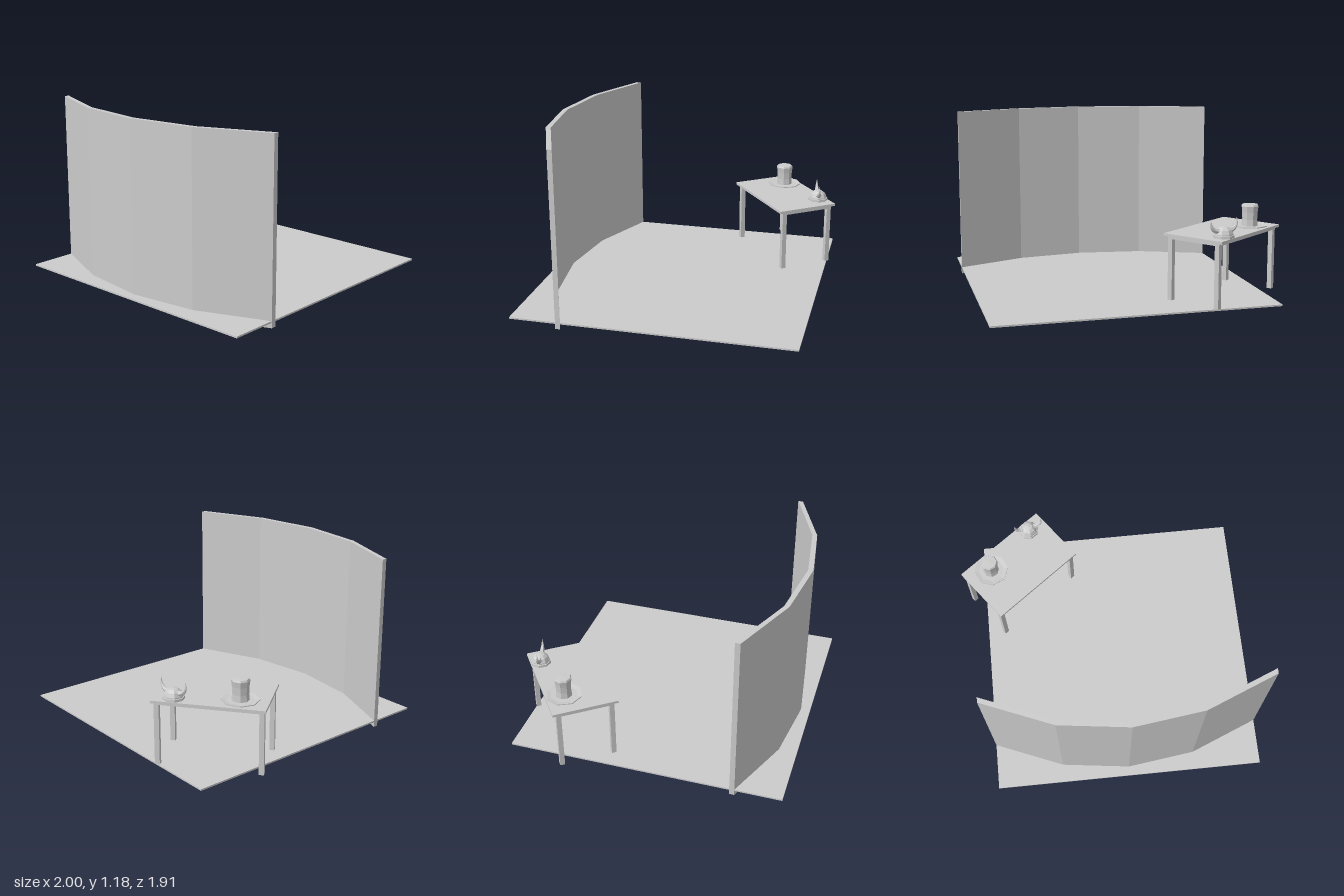
import * as THREE from 'three';

const material = new THREE.MeshStandardMaterial({ color: 0xcccccc, flatShading: true, side: THREE.DoubleSide });

function add(parent, name, geometry, x = 0, y = 0, z = 0) {
  const mesh = new THREE.Mesh(geometry, material);
  mesh.name = name;
  mesh.position.set(x, y, z);
  parent.add(mesh);
  return mesh;
}

function box(parent, name, w, h, d, x, y, z) {
  return add(parent, name, new THREE.BoxGeometry(w, h, d), x, y, z);
}

function lathe(profile, sides) {
  return new THREE.LatheGeometry(profile.map(([r, y]) => new THREE.Vector2(r, y)), sides);
}

// Curved wall: faceted strip extruded upwards
function createWall() {
  const arc = [[-0.865, 0.605], [-0.4, 0.795], [0.065, 0.855], [0.53, 0.795], [1, 0.605]];
  const height = 1.185, thickness = 0.034;
  const front = arc.map(([x, z]) => [x, z + thickness]).reverse();
  const shape = new THREE.Shape([...arc, ...front].map(([x, z]) => new THREE.Vector2(x, z)));
  const geometry = new THREE.ExtrudeGeometry(shape, { depth: height, bevelEnabled: false });
  geometry.rotateX(Math.PI / 2).translate(0, height, 0);
  return geometry;
}

// Table: top, four legs and a frame of rails
function createTable() {
  const table = new THREE.Group();
  table.name = 'table';
  box(table, 'tableTop', 0.714, 0.017, 0.438, 0, 0.475, 0);
  const lx = 0.329, lz = 0.177, w = 0.032;
  for (const sx of [-1, 1]) {
    for (const sz of [-1, 1]) box(table, 'tableLeg', w, 0.421, w, sx * lx, 0.2565, sz * lz);
    box(table, 'endRail', w, 0.018, 2 * lz - w, sx * lx, 0.458, 0);
    box(table, 'sideRail', 2 * lx - w, 0.018, w, 0, 0.458, sx * lz);
  }
  return table;
}

// Tall hat with a wide, slightly upturned brim
function createTopHat() {
  const hat = new THREE.Group();
  hat.name = 'topHat';
  add(hat, 'brim', lathe([[0, 0.001], [0.09, 0.001], [0.121, 0.007], [0.121, 0.013], [0.09, 0.008], [0, 0.008]], 8));
  add(hat, 'crown', lathe([[0.056, 0.006], [0.052, 0.05], [0.054, 0.1], [0.059, 0.138], [0.053, 0.149], [0, 0.151]], 8));
  return hat;
}

// Tapered horn that sweeps out from the dome, then up
function createHorn() {
  const curve = new THREE.CatmullRomCurve3([
    new THREE.Vector3(0.035, 0.04, 0), new THREE.Vector3(0.07, 0.05, 0),
    new THREE.Vector3(0.094, 0.08, 0), new THREE.Vector3(0.096, 0.128, 0)]);
  const rings = 8, sides = 6;
  const geometry = new THREE.TubeGeometry(curve, rings, 0.021, sides);
  const pos = geometry.attributes.position, v = new THREE.Vector3();
  for (let i = 0; i <= rings; i++) {
    const centre = curve.getPointAt(i / rings);
    for (let j = 0; j <= sides; j++) {
      const k = i * (sides + 1) + j;
      v.fromBufferAttribute(pos, k).lerp(centre, i / rings);
      pos.setXYZ(k, v.x, v.y, v.z);
    }
  }
  geometry.computeVertexNormals();
  return geometry;
}

function createHornedHelmet() {
  const helmet = new THREE.Group();
  helmet.name = 'hornedHelmet';
  add(helmet, 'dome', lathe([[0.064, 0], [0.062, 0.025], [0.05, 0.05], [0.03, 0.066], [0, 0.072]], 8));
  add(helmet, 'rim', lathe([[0.062, 0], [0.07, 0], [0.069, 0.016], [0.06, 0.018]], 8));
  for (const side of [0, Math.PI]) add(helmet, 'horn', createHorn()).rotation.y = side;
  return helmet;
}

export function createModel() {
  const model = new THREE.Group();
  model.name = 'stageSet';
  box(model, 'floor', 1.864, 0.011, 1.864, 0.067, 0.04, 0.02);
  add(model, 'curvedWall', createWall());

  const table = createTable();
  table.position.set(-0.583, 0, -0.565);
  table.rotation.y = 0.646;

  const hat = createTopHat();
  hat.position.set(-0.783, 0.4835, -0.535);
  hat.rotation.y = 0.05;

  const helmet = createHornedHelmet();
  helmet.position.set(-0.492, 0.4835, -0.823);
  helmet.rotation.y = 0.22;

  model.add(table, hat, helmet);
  return model;
}
